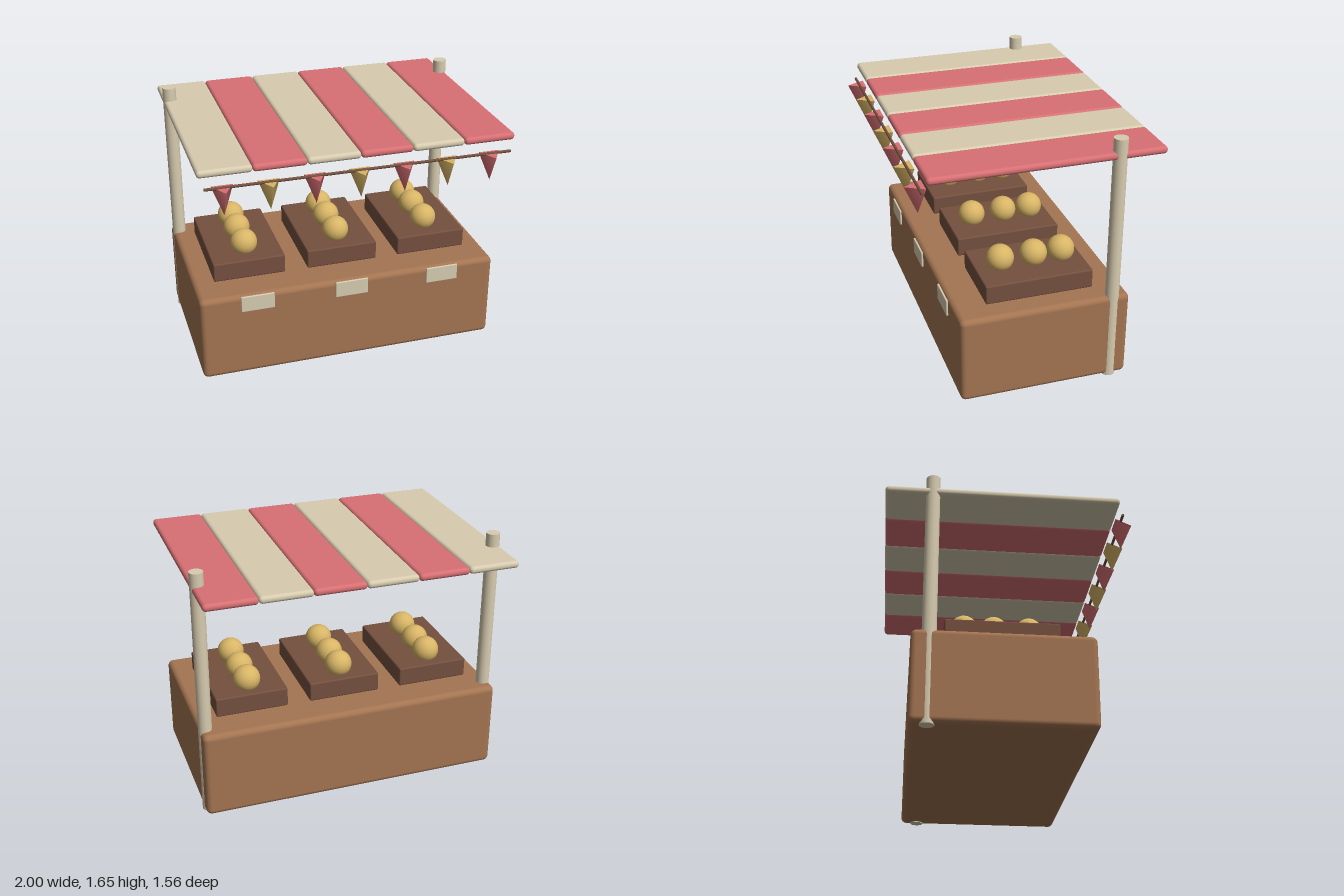
import * as THREE from 'three';
import { RoundedBoxGeometry } from 'three/addons/geometries/RoundedBoxGeometry.js';

function material(name, color) {
  const m = new THREE.MeshStandardMaterial({ color });
  m.name = name;
  return m;
}

export function createModel() {
  const root = new THREE.Group();
  root.name = 'marketStall';

  const wood = material('warm wood', 0xa47552);
  const darkWood = material('dark wood', 0x75503f);
  const cream = material('cream', 0xd8ccb0);
  const red = material('soft red', 0xd87074);
  const gold = material('golden yellow', 0xd8b566);

  const add = (name, geometry, mat, x, y, z, parent = root) => {
    const mesh = new THREE.Mesh(geometry, mat);
    mesh.name = name;
    mesh.position.set(x, y, z);
    parent.add(mesh);
    return mesh;
  };

  // Counter block with softened edges
  add('counter', new RoundedBoxGeometry(1.989, 0.585, 1.1, 4, 0.035), wood, -0.003, 0.2975, -0.045);

  // Two posts, set slightly proud of the counter ends
  const postGeo = new THREE.CylinderGeometry(0.044, 0.044, 1.655, 20);
  for (const side of [-1, 1]) {
    add(side > 0 ? 'leftPost' : 'rightPost', postGeo, cream, side * 0.956, 0.8275, -0.487);
  }

  // Striped awning made of six rounded slats
  const awning = new THREE.Group();
  awning.name = 'awning';
  root.add(awning);
  const slatWidth = 0.331;
  const slatGeo = new RoundedBoxGeometry(slatWidth, 0.047, 1.468, 4, 0.022);
  for (let i = 0; i < 6; i++) {
    add('awningSlat', slatGeo, i % 2 ? red : cream, -0.003 + (i - 2.5) * slatWidth, 1.547, -0.048, awning);
  }

  // Crates with a row of fruit, and a price card in front of each
  const crateGeo = new RoundedBoxGeometry(0.474, 0.127, 0.7, 2, 0.01);
  const fruitGeo = new THREE.SphereGeometry(0.088, 28, 18);
  const cardGeo = new RoundedBoxGeometry(0.218, 0.11, 0.014, 2, 0.005);
  for (let i = -1; i <= 1; i++) {
    const display = new THREE.Group();
    display.name = 'produceDisplay';
    display.position.x = -0.003 + i * 0.624;
    root.add(display);
    add('crate', crateGeo, darkWood, 0, 0.6635, -0.045, display);
    for (const z of [0.14, -0.08, -0.265]) add('fruit', fruitGeo, gold, 0, 0.777, z, display);
    add('priceCard', cardGeo, cream, 0, 0.537, 0.517, display);
  }

  // Bunting: cord with seven three-sided pennants hanging point down
  const bunting = new THREE.Group();
  bunting.name = 'bunting';
  root.add(bunting);
  const cord = new THREE.CylinderGeometry(0.009, 0.009, 1.915, 10);
  cord.rotateZ(Math.PI / 2);
  add('cord', cord, darkWood, -0.003, 1.463, 0.704, bunting);
  const pennantGeo = new THREE.ConeGeometry(0.077, 0.177, 3);
  pennantGeo.rotateZ(Math.PI);
  for (let i = 0; i < 7; i++) {
    add('pennant', pennantGeo, i % 2 ? gold : red, -0.011 + (i - 3) * 0.279, 1.3725, 0.704, bunting);
  }

  return root;
}
